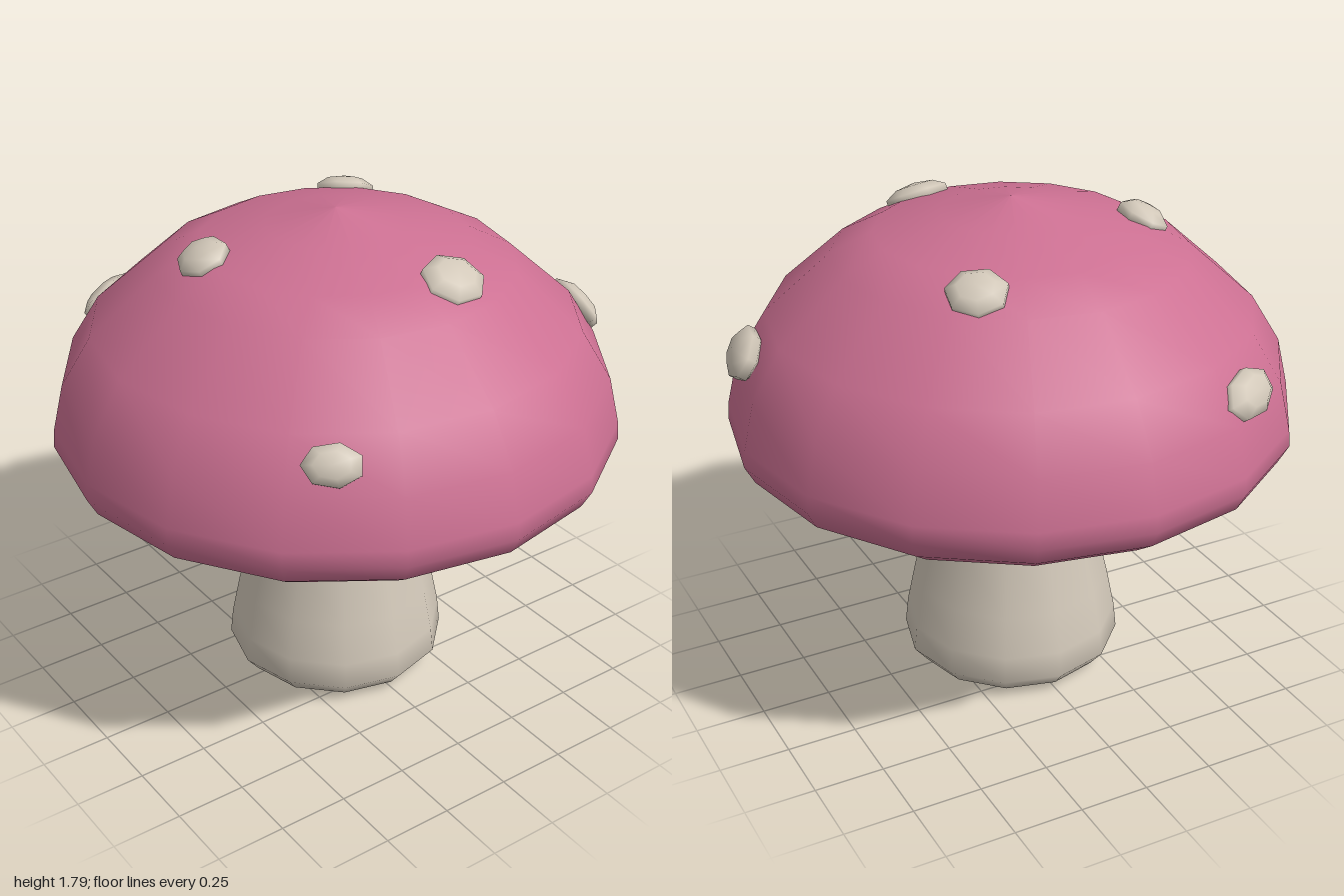
import * as THREE from 'three';

const pink = new THREE.MeshStandardMaterial({ name: 'capPink', color: 0xcc7092 });
const cream = new THREE.MeshStandardMaterial({ name: 'cream', color: 0xd2c8b9 });

// Turned part from [radius, height] pairs listed bottom to top
function turned(name, profile, sides, material) {
  const points = profile.map(([r, y]) => new THREE.Vector2(r, y));
  const mesh = new THREE.Mesh(new THREE.LatheGeometry(points, sides), material);
  mesh.name = name;
  return mesh;
}

export function createModel() {
  const model = new THREE.Group();
  model.name = 'mushroom';

  // Stem with a swollen foot, running a little way into the cap
  model.add(turned('stem', [
    [0, 0.005], [0.26, 0.005], [0.355, 0.03], [0.4, 0.085], [0.39, 0.18],
    [0.36, 0.33], [0.31, 0.54], [0.287, 0.68], [0.29, 0.9],
  ], 12, cream));

  // Domed cap with a rounded rim and flat underside
  model.add(turned('cap', [
    [0, 0.85], [0.72, 0.85], [0.88, 0.875], [0.965, 0.935], [1, 1], [0.995, 1.06],
    [0.955, 1.23], [0.85, 1.4], [0.62, 1.605], [0.47, 1.682], [0.24, 1.742], [0, 1.795],
  ], 16, pink));

  // Flattened low-poly warts lying on the cap:
  // centre, outward tilt, half-width around the cap, half-width along the slope
  const spots = [
    [0.13, 1.665, 0.47, 0.45, 0.125, 0.11],
    [0.33, 1.65, -0.41, 0.5, 0.11, 0.1],
    [-0.45, 1.68, -0.12, 0.45, 0.11, 0.095],
    [-0.46, 1.29, -0.79, 1.0, 0.145, 0.085],
    [0.89, 1.295, 0.25, 1.0, 0.158, 0.09],
    [-0.53, 1.325, 0.73, 1.0, 0.105, 0.075],
  ];
  const wart = new THREE.SphereGeometry(1, 7, 5);
  spots.forEach(([x, y, z, tilt, a, b], i) => {
    const spot = new THREE.Mesh(wart, cream);
    spot.name = 'capSpot' + (i + 1);
    spot.position.set(x, y, z);
    spot.rotation.set(tilt, Math.atan2(x, z), 0, 'YXZ');
    spot.scale.set(a, 0.05, b);
    model.add(spot);
  });

  return model;
}
